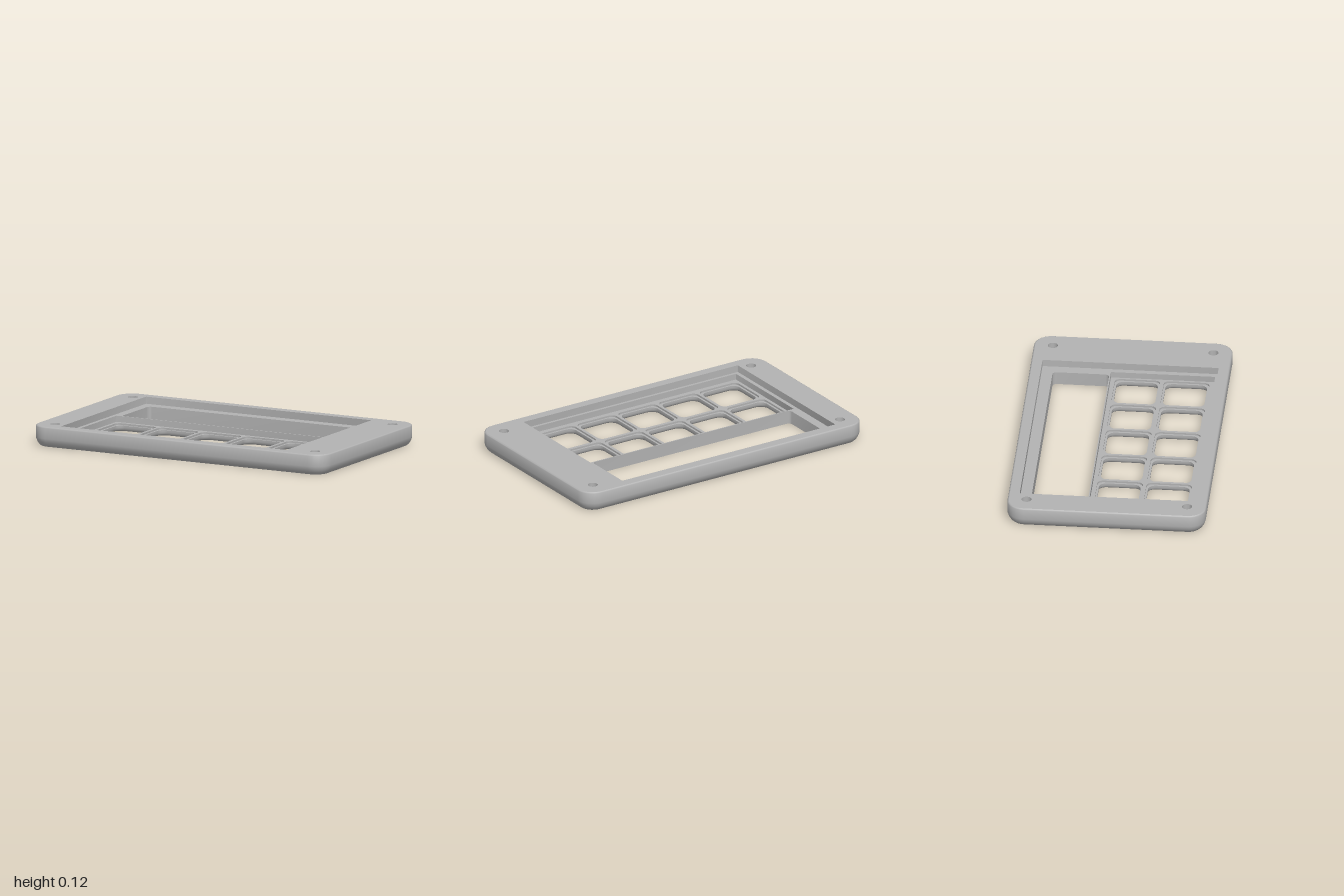
import * as THREE from 'three';
import { toCreasedNormals } from 'three/addons/utils/BufferGeometryUtils.js';

// Rounded rectangle in plan (x, z), counter-clockwise seen from above
function outline(cx, cz, hw, hd, r, n = 7) {
  const pts = [];
  const corners = [[1, 1], [-1, 1], [-1, -1], [1, -1]];
  corners.forEach(([sx, sy], k) => {
    for (let i = 0; i <= n; i++) {
      const a = (k + i / n) * Math.PI / 2;
      pts.push(new THREE.Vector2(
        cx + sx * (hw - r) + r * Math.cos(a),
        -cz + sy * (hd - r) + r * Math.sin(a)));
    }
  });
  return pts;
}

function circle(cx, cz, r, n = 28) {
  return Array.from({ length: n }, (_, i) => {
    const a = i / n * Math.PI * 2;
    return new THREE.Vector2(cx + r * Math.cos(a), -cz + r * Math.sin(a));
  });
}

// Loft through [outline, height] rings: upward order faces out, downward order faces in
function wallGeometry(rings) {
  const n = rings[0][0].length, pos = [], idx = [];
  rings.forEach(([pts, y]) => pts.forEach(p => pos.push(p.x, y, -p.y)));
  for (let k = 0; k < rings.length - 1; k++) {
    for (let i = 0; i < n; i++) {
      const j = (i + 1) % n;
      const a = k * n + i, b = k * n + j, c = b + n, d = a + n;
      idx.push(a, b, c, a, c, d);
    }
  }
  const g = new THREE.BufferGeometry();
  g.setAttribute('position', new THREE.Float32BufferAttribute(pos, 3));
  g.setIndex(idx);
  return toCreasedNormals(g, 0.65);
}

// Flat horizontal face with holes
function faceGeometry(pts, holes, y, down = false) {
  const shape = new THREE.Shape(pts);
  shape.holes = holes.map(h => new THREE.Path(h));
  const g = new THREE.ShapeGeometry(shape);
  g.rotateX(-Math.PI / 2).translate(0, y, 0);
  if (down) {
    g.index.array.reverse();
    g.computeVertexNormals();
  }
  return g;
}

export function createModel() {
  const model = new THREE.Group();
  model.name = 'keypadEnclosure';
  const grey = new THREE.MeshStandardMaterial({ color: 0xb2b2b2 });
  grey.name = 'grey plastic';
  const add = (name, geometry, parent = model) => {
    const mesh = new THREE.Mesh(geometry, grey);
    mesh.name = name;
    parent.add(mesh);
  };

  // Main levels
  const top = 0.125, shelfY = 0.082, floorY = 0.045, seatY = 0.034;
  const body = inset => outline(0, 0, 1 - inset, 0.596 - inset, 0.105 - inset);

  // Plan outlines of the recesses
  const pocket = outline(-0.053, 0, 0.768, 0.529, 0.003);
  const screen = outline(-0.057, -0.292, 0.708, 0.17, 0.025);
  const keyZone = outline(-0.057, 0.198, 0.739, 0.313, 0.003);
  const screws = [];
  for (const x of [-0.886, 0.886]) for (const z of [-0.482, 0.482]) screws.push(circle(x, z, 0.03));
  const keys = [];
  for (let row = 0; row < 2; row++) {
    for (let col = 0; col < 5; col++) {
      const x = -0.639 + col * 0.2925, z = 0.048 + row * 0.295;
      const ring = (half, r) => outline(x, z, half, half, r);
      keys.push({ seat: ring(0.137, 0.035), hole: ring(0.125, 0.045), ring });
    }
  }

  // Outer shell: rounded lower edge, softened top edge
  const profile = [[0.03, 0], [0.016, 0.013], [0.007, 0.029], [0.002, 0.042], [0, 0.053],
    [0, 0.117], [0.003, 0.122], [0.008, top]];
  add('outerShell', wallGeometry(profile.map(([inset, y]) => [body(inset), y])));
  add('topFace', faceGeometry(body(0.008), [pocket, ...screws], top));

  // Stepped recess
  add('pocketWall', wallGeometry([[pocket, top], [pocket, shelfY]]));
  add('pocketShelf', faceGeometry(pocket, [screen, keyZone], shelfY));
  add('screenOpening', wallGeometry([[screen, shelfY], [screen, 0]]));
  add('keyZoneWall', wallGeometry([[keyZone, shelfY], [keyZone, floorY]]));
  add('keyZoneFloor', faceGeometry(keyZone, keys.map(k => k.seat), floorY));

  // Key openings: counterbored on top, flared underneath
  const flares = keys.map(k => k.ring(0.137, 0.055));
  keys.forEach((k, i) => {
    const opening = new THREE.Group();
    opening.name = 'keyOpening';
    add('keySeatWall', wallGeometry([[k.seat, floorY], [k.seat, seatY]]), opening);
    add('keySeat', faceGeometry(k.seat, [k.hole], seatY), opening);
    add('keyHole', wallGeometry([[k.hole, seatY], [k.hole, 0.022],
      [k.ring(0.127, 0.047), 0.012], [k.ring(0.131, 0.05), 0.005], [flares[i], 0]]), opening);
    model.add(opening);
  });

  // Blind screw holes
  screws.forEach(s => {
    add('screwHole', wallGeometry([[s, top], [s, 0.045]]));
    add('screwHoleBase', faceGeometry(s, [], 0.045));
  });

  add('bottomFace', faceGeometry(body(0.03), [screen, ...flares], 0, true));
  return model;
}
